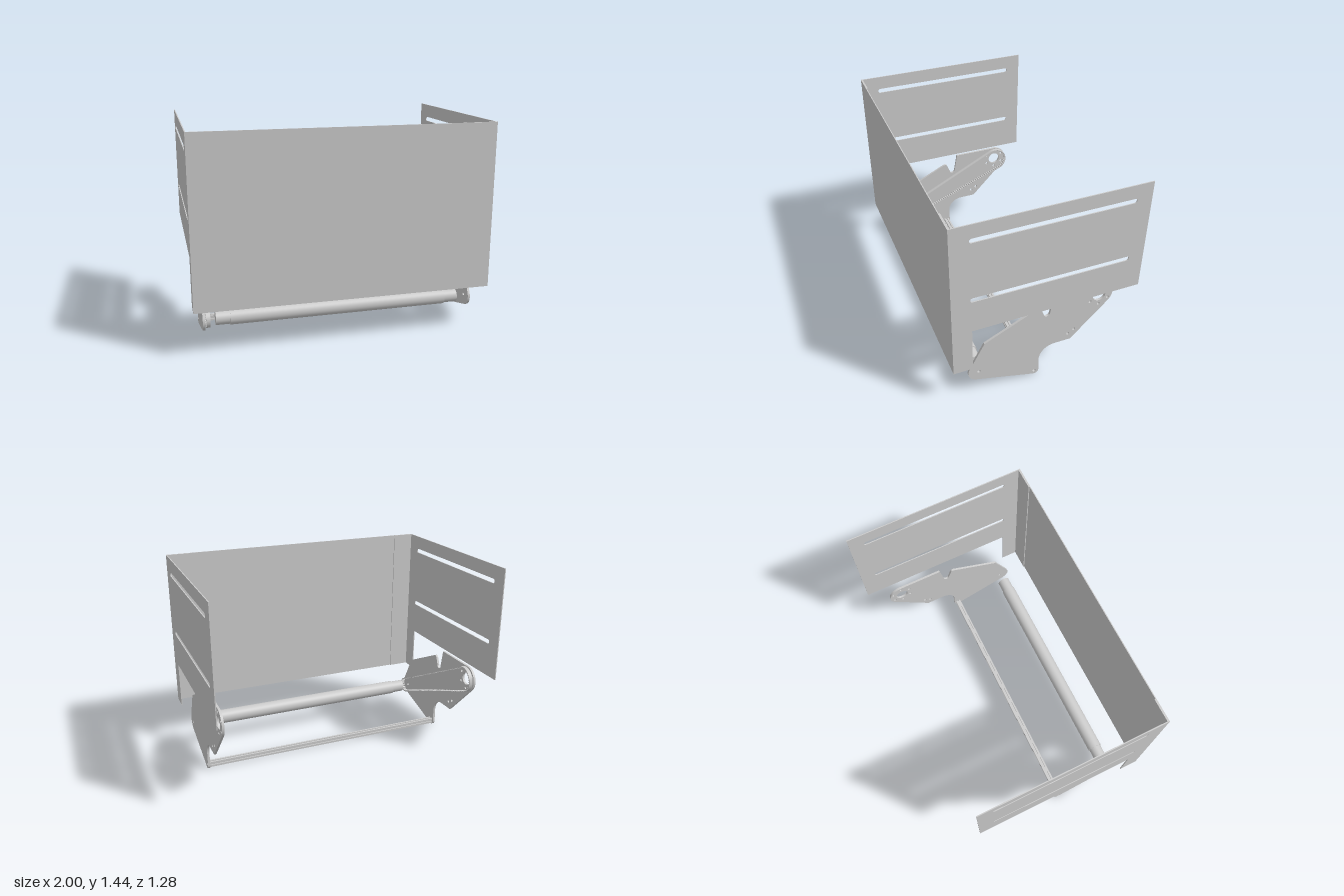
import * as THREE from 'three';

const grey = new THREE.MeshStandardMaterial({ color: 0xcccccc });
const PI = Math.PI;
const rad = (d) => (d * PI) / 180;

// Shared pivot points, written as (z, y)
const ROLLER = [0.447, 0.188];
const HUB = [-0.4, 0.57];
const BAR = [0.047, 0.031];

export function createModel() {
  const model = new THREE.Group();

  const add = (name, geometry, parent = model) => {
    const mesh = new THREE.Mesh(geometry, grey);
    mesh.name = name;
    parent.add(mesh);
    return mesh;
  };

  // Extrude a (z, y) outline sideways from x0 to x1
  const slab = (shape, x0, x1) =>
    new THREE.ExtrudeGeometry(shape, { depth: x1 - x0, bevelEnabled: false, curveSegments: 20 })
      .rotateY(-PI / 2)
      .translate(x1, 0, 0);

  const box = (x0, x1, y0, y1, z0, z1) =>
    new THREE.BoxGeometry(x1 - x0, y1 - y0, z1 - z0)
      .translate((x0 + x1) / 2, (y0 + y1) / 2, (z0 + z1) / 2);

  const hole = (shape, z, y, r) =>
    shape.holes.push(new THREE.Path().absarc(z, y, r, 0, 2 * PI, true));

  // Sheet housing: front panel, slotted sides and their inner flanges
  add('frontPanel', box(-1, 1, 0.31, 1.44, 0.635, 0.641));

  const side = new THREE.Shape([
    [-0.641, 0.64], [0.512, 0.64], [0.512, 0.31], [0.635, 0.31], [0.635, 1.44], [-0.641, 1.44],
  ].map((p) => new THREE.Vector2(...p)));
  for (const y of [0.89, 1.328]) {
    const slot = new THREE.Path();
    slot.absarc(0.504, y, 0.016, -PI / 2, PI / 2, false);
    slot.absarc(-0.522, y, 0.016, PI / 2, 1.5 * PI, false);
    slot.closePath();
    side.holes.push(slot);
  }
  add('leftSidePanel', slab(side, 0.993, 1));
  add('rightSidePanel', slab(side, -1, -0.993));
  add('leftFlange', box(0.84, 0.993, 0.31, 1.44, 0.628, 0.635));
  add('rightFlange', box(-0.993, -0.84, 0.31, 1.44, 0.628, 0.635));

  // Bracket plates carrying the roller, the hub and the cross bar
  const plate = new THREE.Shape();
  plate.absarc(...ROLLER, 0.073, rad(-74), rad(26), false);
  plate.lineTo(0.408, 0.424);
  plate.lineTo(0.048, 0.596);
  plate.quadraticCurveTo(0.028, 0.604, 0.02, 0.585);
  plate.absarc(-0.023, 0.534, 0.022, 0, -PI, true);
  plate.lineTo(-0.07, 0.667);
  plate.absarc(...HUB, 0.097, rad(90), rad(225), false);
  plate.lineTo(-0.21, 0.24);
  plate.absarc(-0.09, 0.132, 0.108, rad(90), 0, true);
  plate.absarc(...BAR, 0.031, PI, rad(286), false);
  plate.closePath();
  hole(plate, ...HUB, 0.046);
  for (let i = 0; i < 6; i++) {
    const a = rad(30 + i * 60);
    hole(plate, HUB[0] + 0.075 * Math.cos(a), HUB[1] + 0.075 * Math.sin(a), 0.01);
  }
  for (const [z, y] of [ROLLER, BAR, [-0.189, 0.296], [-0.232, 0.321]]) hole(plate, z, y, 0.011);
  add('leftBracket', slab(plate, 0.917, 0.933));
  add('rightBracket', slab(plate, -0.937, -0.921));

  // Cross bar: square profile with a groove along each face and a bore
  const bar = new THREE.Shape();
  const quarter = [[0.019, -0.019], [0.019, -0.005], [0.01, -0.005], [0.01, 0.005], [0.019, 0.005]];
  const barPoints = [];
  for (let i = 0; i < 4; i++) {
    const turn = (i * PI) / 2;
    for (const p of quarter) {
      const v = new THREE.Vector2(...p).rotateAround(new THREE.Vector2(), turn);
      barPoints.push(v.add(new THREE.Vector2(...BAR)));
    }
  }
  bar.setFromPoints(barPoints);
  hole(bar, ...BAR, 0.006);
  add('crossBar', slab(bar, -0.921, 0.917));

  // Roller with slightly thinner ends
  const roller = (name, x0, x1, r) =>
    add(name, new THREE.CylinderGeometry(r, r, x1 - x0, 48)
      .rotateZ(PI / 2)
      .translate((x0 + x1) / 2, ROLLER[1], ROLLER[0]));
  roller('rollerSleeve', -0.755, 0.75, 0.052);
  roller('rollerCore', -0.85, 0.846, 0.046);

  // Toothed belt: open loop around the roller axis and the hub axis
  const dz = HUB[0] - ROLLER[0];
  const dy = HUB[1] - ROLLER[1];
  const phi = Math.atan2(dy, dz);
  const beta = Math.acos((0.058 - 0.095) / Math.hypot(dz, dy));
  const loop = (path, inset) => {
    path.absarc(...ROLLER, 0.058 - inset, phi + beta, phi + 2 * PI - beta, false);
    path.absarc(...HUB, 0.095 - inset, phi - beta, phi + beta, false);
    path.closePath();
    return path;
  };
  const belt = loop(new THREE.Shape(), 0);
  const inner = loop(new THREE.Path(), 0.005);
  const teeth = 130;
  const toothPoints = [];
  for (let i = 0; i < teeth * 4; i++) {
    const t = (i + 0.5) / (teeth * 4);
    const p = inner.getPoint(t);
    const d = inner.getTangent(t);
    const depth = i % 4 < 2 ? 0.007 : 0;
    toothPoints.push(new THREE.Vector2(p.x - d.y * depth, p.y + d.x * depth));
  }
  belt.holes.push(new THREE.Path(toothPoints));
  add('driveBelt', slab(belt, -0.913, -0.886));

  return model;
}
